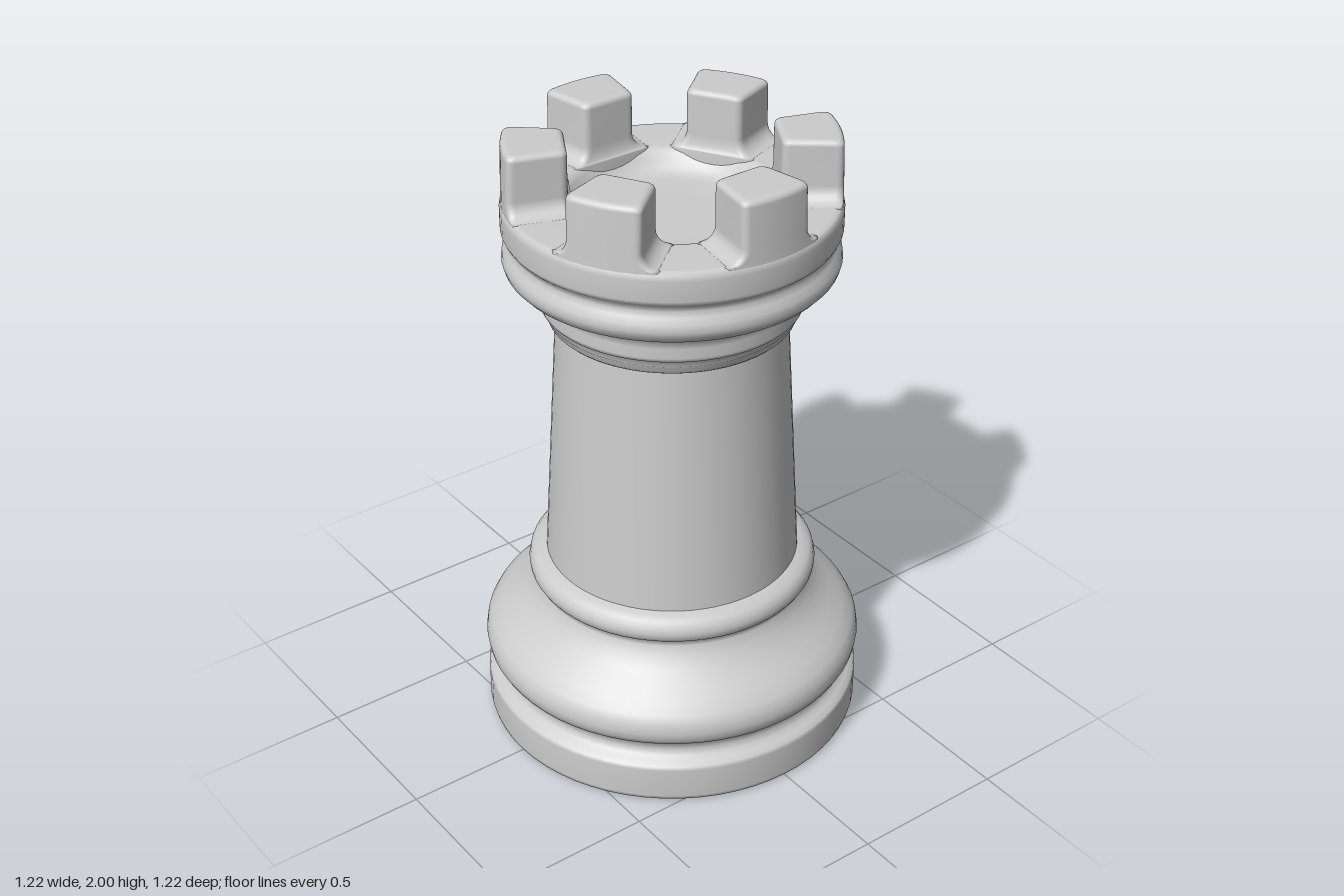
import * as THREE from 'three';

const SEGMENTS = 64;
const MERLONS = 6;

// Turned part from a list of [radius, height] points
function turned(name, points, material) {
  const profile = points.map(([r, y]) => new THREE.Vector2(r, y));
  const mesh = new THREE.Mesh(new THREE.LatheGeometry(profile, SEGMENTS), material);
  mesh.name = name;
  return mesh;
}

// Rounded wedge outline: inner radius, outer radius, half widths, corner size
function wedgeOutline(inner, outer, wi, wo, c) {
  const cx = Math.sqrt(outer * outer - wo * wo);
  const ox = Math.sqrt(outer * outer - (wo - c) ** 2);
  const slope = (wo - wi) / (cx - inner);
  const s = new THREE.Shape();
  s.moveTo(inner + c, -wi - slope * c);
  s.lineTo(cx - c, -wo + slope * c);
  s.quadraticCurveTo(cx, -wo, ox, -wo + c);
  s.quadraticCurveTo(outer * outer / ox, 0, ox, wo - c);
  s.quadraticCurveTo(cx, wo, cx - c, wo - slope * c);
  s.lineTo(inner + c, wi + slope * c);
  s.quadraticCurveTo(inner, wi, inner, wi - c);
  s.lineTo(inner, -wi + c);
  s.quadraticCurveTo(inner, -wi, inner + c, -wi - slope * c);
  const pts = s.getPoints(6);
  pts.pop();
  return pts;
}

// Merlon: stacked outlines with a flared foot and a rounded top edge
function merlonGeometry() {
  const floor = 1.81, top = 2, fillet = 0.05, round = 0.018;
  const sections = [[1.75, fillet, 0]]; // [height, flare, inset]
  for (let i = 0; i <= 6; i++) {
    const a = (i / 6) * Math.PI / 2;
    sections.push([floor + fillet * (1 - Math.cos(a)), fillet * (1 - Math.sin(a)), 0]);
  }
  for (let i = 0; i <= 5; i++) {
    const a = (i / 5) * Math.PI / 2;
    sections.push([top - round * (1 - Math.sin(a)), 0, round * (1 - Math.cos(a))]);
  }
  sections.push([top, 0, round + 0.012]);

  const positions = [], index = [];
  let n = 0;
  for (const [y, flare, inset] of sections) {
    const taper = 0.006 * (y - floor) / (top - floor);
    const loop = wedgeOutline(0.31 - 0.3 * flare + inset, 0.503 - taper - inset,
      0.088 + flare - inset, 0.118 + flare - inset, 0.022);
    n = loop.length;
    for (const p of loop) positions.push(p.x, y, -p.y);
  }
  for (let k = 0; k < sections.length - 1; k++) {
    for (let i = 0; i < n; i++) {
      const a = k * n + i, b = k * n + (i + 1) % n;
      index.push(a, b, b + n, a, b + n, a + n);
    }
  }
  // Flat cap
  const last = (sections.length - 1) * n;
  positions.push(0.41, top, 0);
  for (let i = 0; i < n; i++) index.push(last + i, last + (i + 1) % n, last + n);

  const geometry = new THREE.BufferGeometry();
  geometry.setAttribute('position', new THREE.Float32BufferAttribute(positions, 3));
  geometry.setIndex(index);
  geometry.computeVertexNormals();
  return geometry;
}

export function createModel() {
  const group = new THREE.Group();
  group.name = 'chessRook';
  const stone = new THREE.MeshStandardMaterial({ color: 0xcccccc });
  stone.name = 'lightGrey';

  // Underside disc
  const underside = new THREE.Mesh(new THREE.CircleGeometry(0.592, SEGMENTS), stone);
  underside.rotation.x = Math.PI / 2;
  underside.name = 'underside';
  group.add(underside);

  // Foot, groove, swelling and upper ring
  group.add(turned('base', [
    [0.592, 0], [0.602, 0.006], [0.606, 0.02], [0.606, 0.12], [0.602, 0.132], [0.585, 0.143],
    [0.568, 0.153], [0.56, 0.172], [0.563, 0.192], [0.575, 0.206], [0.593, 0.22],
    [0.604, 0.24], [0.608, 0.265], [0.603, 0.295], [0.588, 0.322], [0.555, 0.353],
    [0.515, 0.383], [0.478, 0.416], [0.452, 0.45], [0.438, 0.48], [0.437, 0.495],
    [0.45, 0.506], [0.458, 0.52], [0.46, 0.537], [0.455, 0.557], [0.442, 0.573],
    [0.42, 0.582], [0.398, 0.588],
  ], stone));

  // Tapered shaft
  group.add(turned('shaft', [[0.403, 0.58], [0.354, 1.42]], stone));

  // Neck rings, collar, battlement floor and shallow bowl
  group.add(turned('crown', [
    [0.35, 1.41], [0.368, 1.413], [0.377, 1.422], [0.379, 1.437], [0.386, 1.444],
    [0.386, 1.46], [0.398, 1.467], [0.402, 1.48], [0.399, 1.51], [0.402, 1.533],
    [0.42, 1.551], [0.455, 1.566], [0.485, 1.583], [0.502, 1.602], [0.508, 1.622],
    [0.505, 1.645], [0.492, 1.663], [0.485, 1.68], [0.488, 1.695], [0.502, 1.708],
    [0.508, 1.722], [0.508, 1.785], [0.505, 1.802], [0.497, 1.809], [0.485, 1.811],
    [0.34, 1.811], [0.322, 1.807], [0.309, 1.796], [0.297, 1.777], [0.282, 1.759],
    [0.262, 1.746], [0.235, 1.74], [0.15, 1.738], [0, 1.738],
  ], stone));

  // Ring of merlons
  const geometry = merlonGeometry();
  for (let i = 0; i < MERLONS; i++) {
    const merlon = new THREE.Mesh(geometry, stone);
    merlon.rotation.y = (i / MERLONS) * Math.PI * 2;
    merlon.name = 'merlon' + (i + 1);
    group.add(merlon);
  }
  return group;
}
